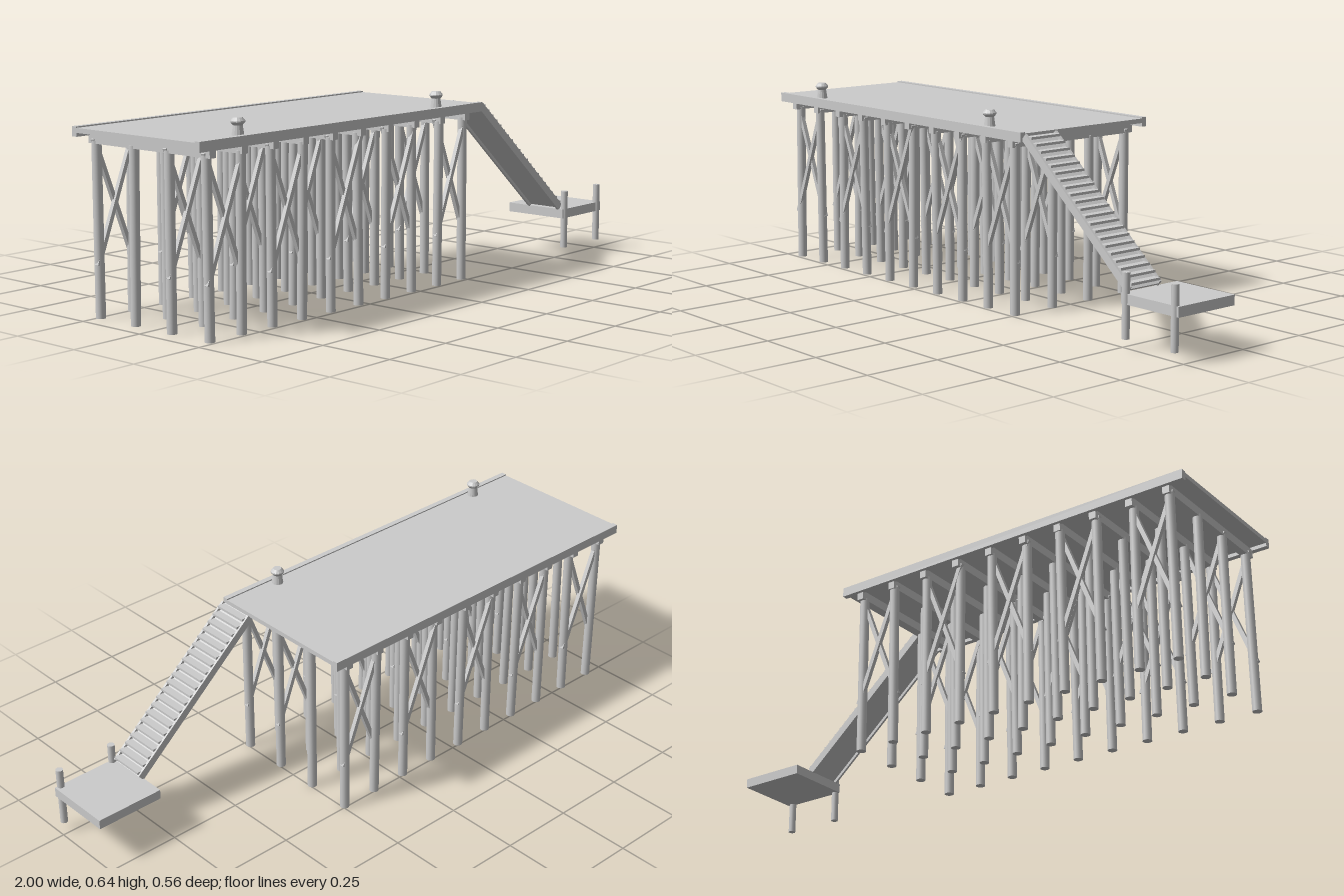
import * as THREE from 'three';

export function createModel() {
  const model = new THREE.Group();
  const mat = new THREE.MeshStandardMaterial({ color: 0xcccccc });

  function add(name, geometry, x, y, z, parent = model) {
    const mesh = new THREE.Mesh(geometry, mat);
    mesh.name = name;
    mesh.position.set(x, y, z);
    parent.add(mesh);
    return mesh;
  }
  // Box given by its limits on each axis
  function slab(name, x0, x1, y0, y1, z0, z1, parent) {
    return add(name, new THREE.BoxGeometry(x1 - x0, y1 - y0, z1 - z0),
      (x0 + x1) / 2, (y0 + y1) / 2, (z0 + z1) / 2, parent);
  }
  // Mesh whose length (y axis) runs from a to b
  function between(name, geometry, a, b, parent) {
    const mid = a.clone().add(b).multiplyScalar(0.5);
    const mesh = add(name, geometry, mid.x, mid.y, mid.z, parent);
    mesh.quaternion.setFromUnitVectors(new THREE.Vector3(0, 1, 0), b.clone().sub(a).normalize());
    return mesh;
  }
  const V = (x, y, z) => new THREE.Vector3(x, y, z);

  // Deck with a raised beam along each long edge
  slab('deck', -1, 0.305, 0.573, 0.588, -0.275, 0.258);
  slab('frontEdgeBeam', -1, 0.305, 0.561, 0.592, 0.244, 0.263);
  slab('backEdgeBeam', -1, 0.305, 0.561, 0.592, -0.279, -0.26);

  // Piles in ten rows of four, with a cross beam over each row
  const rowsX = Array.from({ length: 10 }, (_, i) => -0.935 + i * 0.1306);
  const rowsZ = [0.229, 0.071, -0.085, -0.242];
  const piles = new THREE.Group();
  piles.name = 'piles';
  model.add(piles);
  rowsX.forEach((x, i) => {
    slab('crossBeam', x - 0.012, x + 0.012, 0.537, 0.566, -0.267, 0.25);
    rowsZ.forEach((z, j) => {
      const last = i === 9;
      const lean = last ? 0 : ((i * 3 + j * 2) % 5 - 2) * 0.003;
      const a = V(x, 0, z), b = V(x, 0.545, z + lean);
      between('pile', new THREE.CylinderGeometry(0.0155, 0.0155, a.distanceTo(b), 14), a, b, piles);
    });
  });

  // Crossed braces between paired piles
  for (let i = 0; i < 10; i += 2) {
    const x0 = rowsX[i] - 0.01, x1 = rowsX[i + 1] + 0.01;
    for (const z of [rowsZ[0], rowsZ[1], rowsZ[3]]) {
      for (const [top, bottom, dz] of [[x0, x1, -0.004], [x1, x0, 0.004]]) {
        const a = V(bottom, 0.165, z + dz), b = V(top, 0.552, z + dz);
        between('brace', new THREE.BoxGeometry(0.014, a.distanceTo(b), 0.014), a, b);
      }
    }
  }

  // Mooring bollards
  const bollardProfile = [[0, 0], [0.019, 0], [0.0145, 0.031], [0.022, 0.04],
    [0.022, 0.044], [0.014, 0.054], [0, 0.054]].map(p => new THREE.Vector2(...p));
  const bollardGeometry = new THREE.LatheGeometry(bollardProfile, 14).toNonIndexed();
  bollardGeometry.computeVertexNormals();
  for (const x of [-0.805, 0.11]) add('bollard', bollardGeometry, x, 0.587, 0.222);

  // Sloping stairway: side rails, backing board and treads
  const stairs = new THREE.Group();
  stairs.name = 'stairs';
  model.add(stairs);
  const top = V(0.31, 0.578, 0), foot = V(0.775, 0.178, 0);
  const length = top.distanceTo(foot);
  for (const z of [0.127, 0.251]) {
    between('stairRail', new THREE.BoxGeometry(0.026, length, 0.008),
      V(foot.x, foot.y, z), V(top.x, top.y, z), stairs);
  }
  between('stairBoard', new THREE.BoxGeometry(0.006, length, 0.118),
    V(foot.x, foot.y, 0.189), V(top.x, top.y, 0.189), stairs);
  const steps = 21;
  for (let i = 0; i < steps; i++) {
    const p = top.clone().lerp(foot, (i + 0.5) / steps);
    add('tread', new THREE.BoxGeometry(0.026, 0.008, 0.12), p.x + 0.007, p.y + 0.008, 0.189, stairs);
  }

  // Lower landing and its mooring posts
  slab('landing', 0.765, 1, 0.14, 0.172, 0.04, 0.273);
  for (const x of [0.781, 0.981]) {
    add('landingPost', new THREE.CylinderGeometry(0.012, 0.012, 0.201, 14), x, 0.1355, 0.268);
  }

  return model;
}
